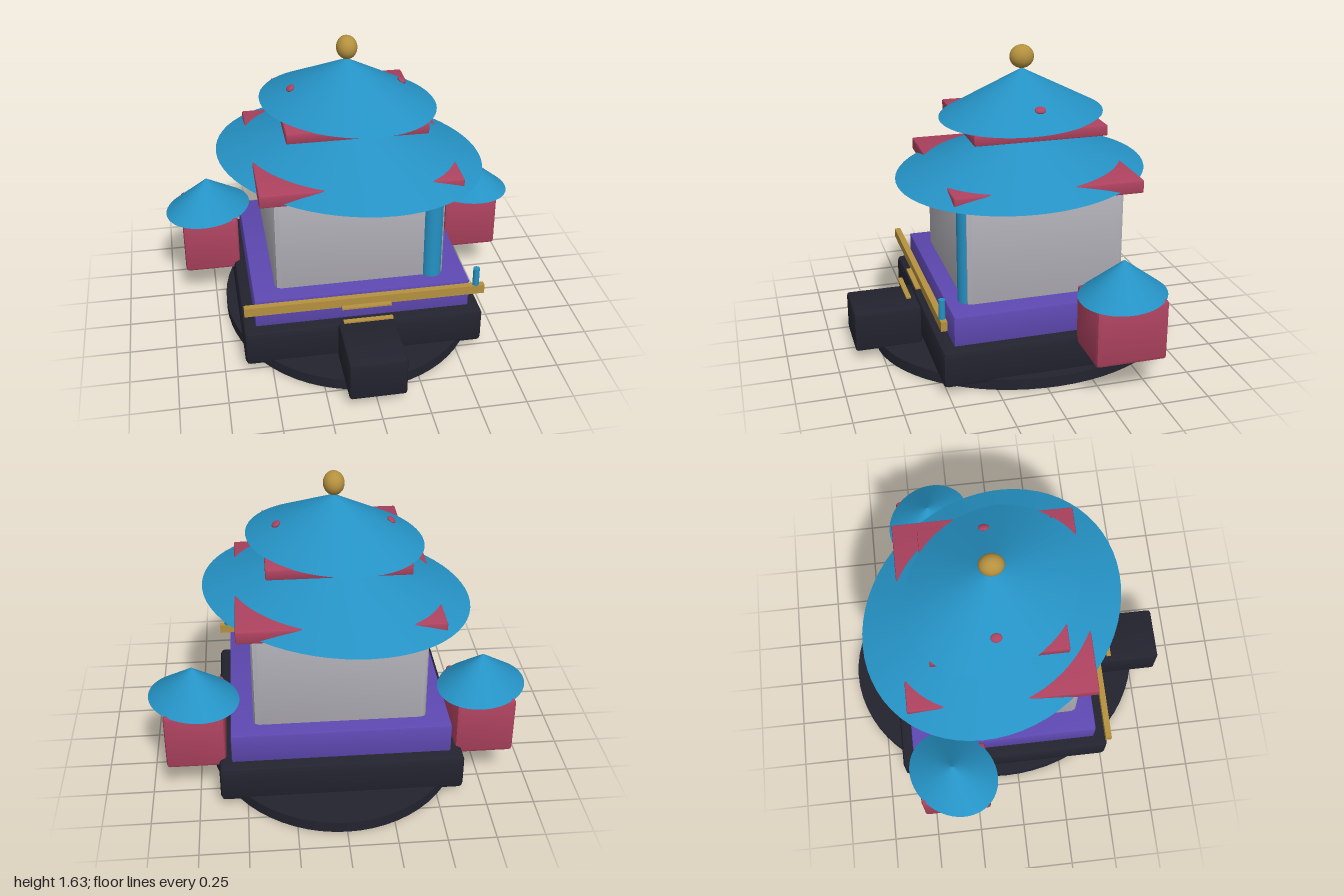
import * as THREE from 'three';
import { toCreasedNormals } from 'three/addons/utils/BufferGeometryUtils.js';
import { RoundedBoxGeometry } from 'three/addons/geometries/RoundedBoxGeometry.js';

const CZ = -0.065; // depth of the pagoda's axis

function material(name, color) {
  const m = new THREE.MeshStandardMaterial({ color });
  m.name = name;
  return m;
}

export function createModel() {
  const model = new THREE.Group();
  model.name = 'pagoda';

  const black = material('black stone', 0x23232f);
  const purple = material('purple plinth', 0x5d48b0);
  const grey = material('pale plaster', 0xb2b0b8);
  const red = material('red timber', 0xad425f);
  const blue = material('blue tile', 0x2592c4);
  const gold = material('gold', 0xb5913f);

  function add(name, geometry, mat, x, y, z) {
    const mesh = new THREE.Mesh(geometry, mat);
    mesh.name = name;
    mesh.position.set(x, y, z);
    model.add(mesh);
    return mesh;
  }

  // Box given by its extents; a bevel gives it chamfered edges
  function box(name, mat, [x0, x1], [y0, y1], [z0, z1], bevel = 0) {
    const size = [x1 - x0, y1 - y0, z1 - z0];
    const geometry = bevel
      ? toCreasedNormals(new RoundedBoxGeometry(...size, 1, bevel), 0.5)
      : new THREE.BoxGeometry(...size);
    return add(name, geometry, mat, (x0 + x1) / 2, (y0 + y1) / 2, (z0 + z1) / 2);
  }

  // Cone roof, stretched slightly along a diagonal
  function roof(name, radius, y0, y1, x, z, turn) {
    const mesh = add(name, new THREE.ConeGeometry(radius, y1 - y0, 64), blue, x, (y0 + y1) / 2, z);
    mesh.scale.set(1.08, 1, 0.912);
    mesh.rotation.y = turn;
  }

  // Ground disc, terrace, front step and plinth
  add('groundDisc', new THREE.CylinderGeometry(1, 1, 0.06, 64), black, 0, 0.03, CZ).scale.set(0.7, 1, 0.83);
  box('terrace', black, [-0.64, 0.64], [0.04, 0.24], [-0.655, 0.525], 0.025);
  box('frontStep', black, [-0.15, 0.15], [0.05, 0.27], [0.535, 0.895], 0.015);
  box('plinth', purple, [-0.575, 0.575], [0.2, 0.4], [-0.583, 0.453], 0.008);

  // Hall with a corner column
  box('hallWalls', grey, [-0.455, 0.455], [0.36, 0.98], [-0.49, 0.36], 0.032);
  add('column', new THREE.CylinderGeometry(0.054, 0.054, 0.525, 32), blue, 0.39, 0.6625, 0.336);

  // Front rail, its post and the thin treads
  box('frontRail', gold, [-0.635, 0.635], [0.365, 0.415], [0.5, 0.533]);
  add('railPost', new THREE.CylinderGeometry(0.017, 0.017, 0.105, 16), blue, 0.59, 0.465, 0.517);
  box('upperTread', gold, [-0.13, 0.13], [0.366, 0.375], [0.53, 0.56]);
  box('lowerTread', gold, [-0.13, 0.13], [0.317, 0.325], [0.585, 0.611]);

  // Two storeys of square eaves and round roofs
  box('lowerEave', red, [-0.525, 0.525], [0.94, 1.01], [-0.56, 0.43], 0.008);
  roof('lowerRoof', 0.7, 0.955, 1.237, 0, CZ, -Math.PI / 4);
  box('goldBeam', gold, [-0.29, 0.29], [1.2, 1.215], [CZ - 0.025, CZ + 0.025]);
  box('upperEave', red, [-0.365, 0.365], [1.21, 1.266], [-0.415, 0.285], 0.006);
  roof('upperRoof', 0.457, 1.265, 1.505, 0, CZ, -Math.PI / 4);

  // Finial
  const ball = new THREE.SphereGeometry(1, 32, 20);
  add('finial', ball, gold, 0, 1.565, CZ).scale.set(0.055, 0.062, 0.065);

  // Mirrored roof studs and side towers
  for (const side of [1, -1]) {
    const stud = add('roofStud', ball, red, side * 0.297, 1.352, CZ - 0.01);
    stud.scale.set(0.024, 0.012, 0.029);
    stud.rotation.z = -side * 0.5;

    const xs = [side * 0.604, side * 0.914].sort((a, b) => a - b);
    box('towerBody', red, xs, [0.195, 0.515], [-0.555, -0.18], 0.018);
    roof('towerRoof', 0.239, 0.51, 0.695, side * 0.761, -0.367, -side * Math.PI / 4);
  }

  return model;
}
